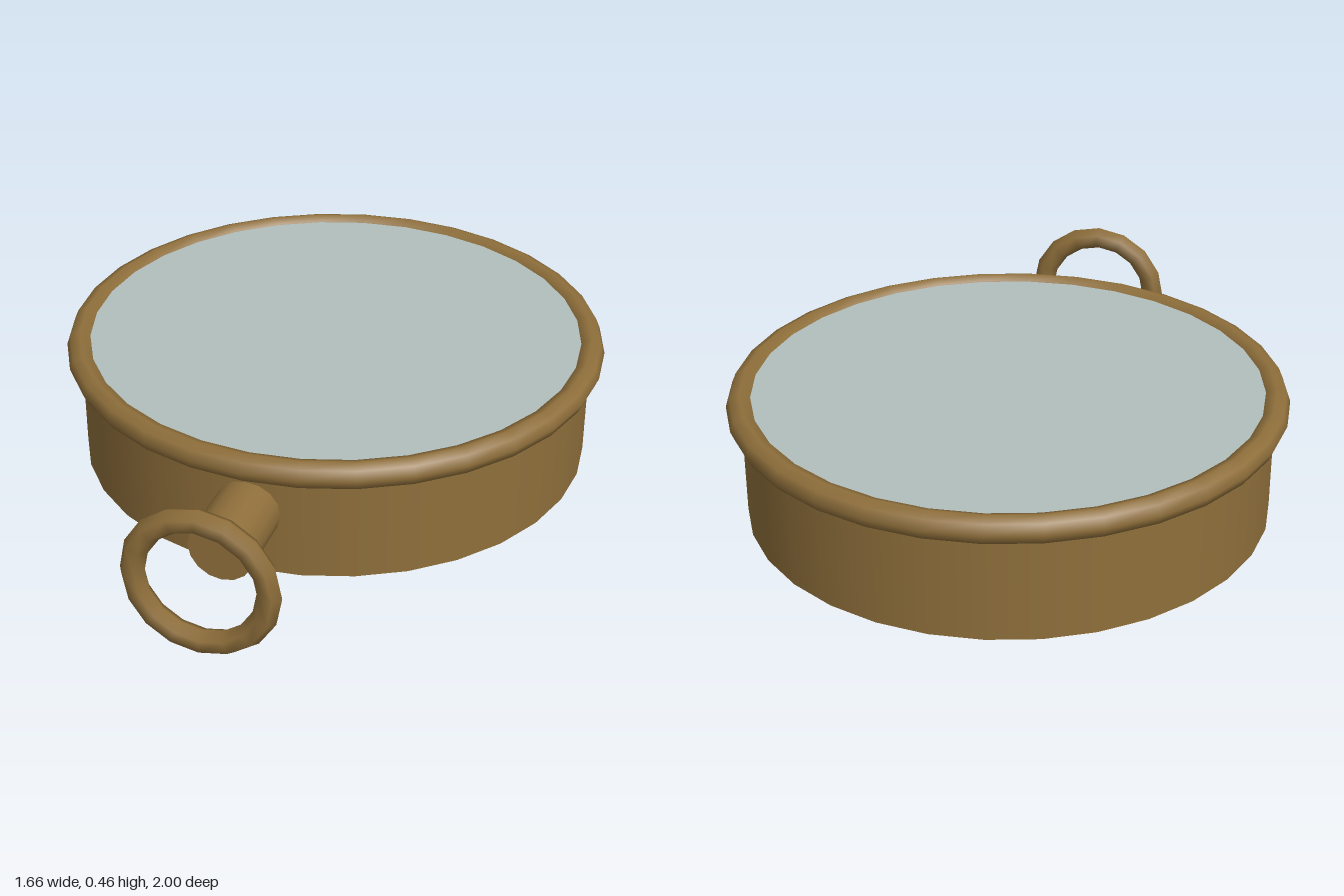
import * as THREE from 'three';

const material = (name, color) => {
  const m = new THREE.MeshStandardMaterial({ color });
  m.name = name;
  return m;
};

export function createModel() {
  const brass = material('brass', 0x8f6f3b);
  const glass = material('pale glass', 0xb2bfbc);
  const dark = material('dark metal', 0x322d2a);

  const model = new THREE.Group();
  model.name = 'pocketCase';
  const centerZ = -0.168; // axis of the round case
  const stemY = 0.235;    // height of the stem and loop

  const add = (name, geometry, mat, x, y, z) => {
    const mesh = new THREE.Mesh(geometry, mat);
    mesh.name = name;
    mesh.position.set(x, y, z);
    model.add(mesh);
  };
  // Upright cylinder and lying ring
  const disc = (r, h, sides) => new THREE.CylinderGeometry(r, r, h, sides);
  const ring = (r, tube, sides) =>
    new THREE.TorusGeometry(r, tube, 8, sides).rotateX(Math.PI / 2);

  // Case body, rounded rim and glass face
  add('caseBody', disc(0.787, 0.347, 32), brass, 0, 0.2135, centerZ);
  add('rim', ring(0.788, 0.041, 32), brass, 0, 0.387, centerZ);
  add('glassFace', disc(0.757, 0.03, 32), glass, 0, 0.398, centerZ);

  // Underside: raised ring and two round marks
  add('baseRing', ring(0.475, 0.017, 32), dark, 0, 0.039, centerZ);
  for (const side of [-1, 1]) {
    add(side < 0 ? 'rightBaseMark' : 'leftBaseMark', disc(0.066, 0.008, 16), dark,
      side * 0.4, 0.039, centerZ);
  }

  // Stem and hanging loop at the front
  add('stem', disc(0.097, 0.24, 16).rotateX(Math.PI / 2), brass, 0, stemY + 0.002, 0.7);
  add('loop', new THREE.TorusGeometry(0.196, 0.036, 6, 16), brass, 0, stemY, 0.968);

  return model;
}
